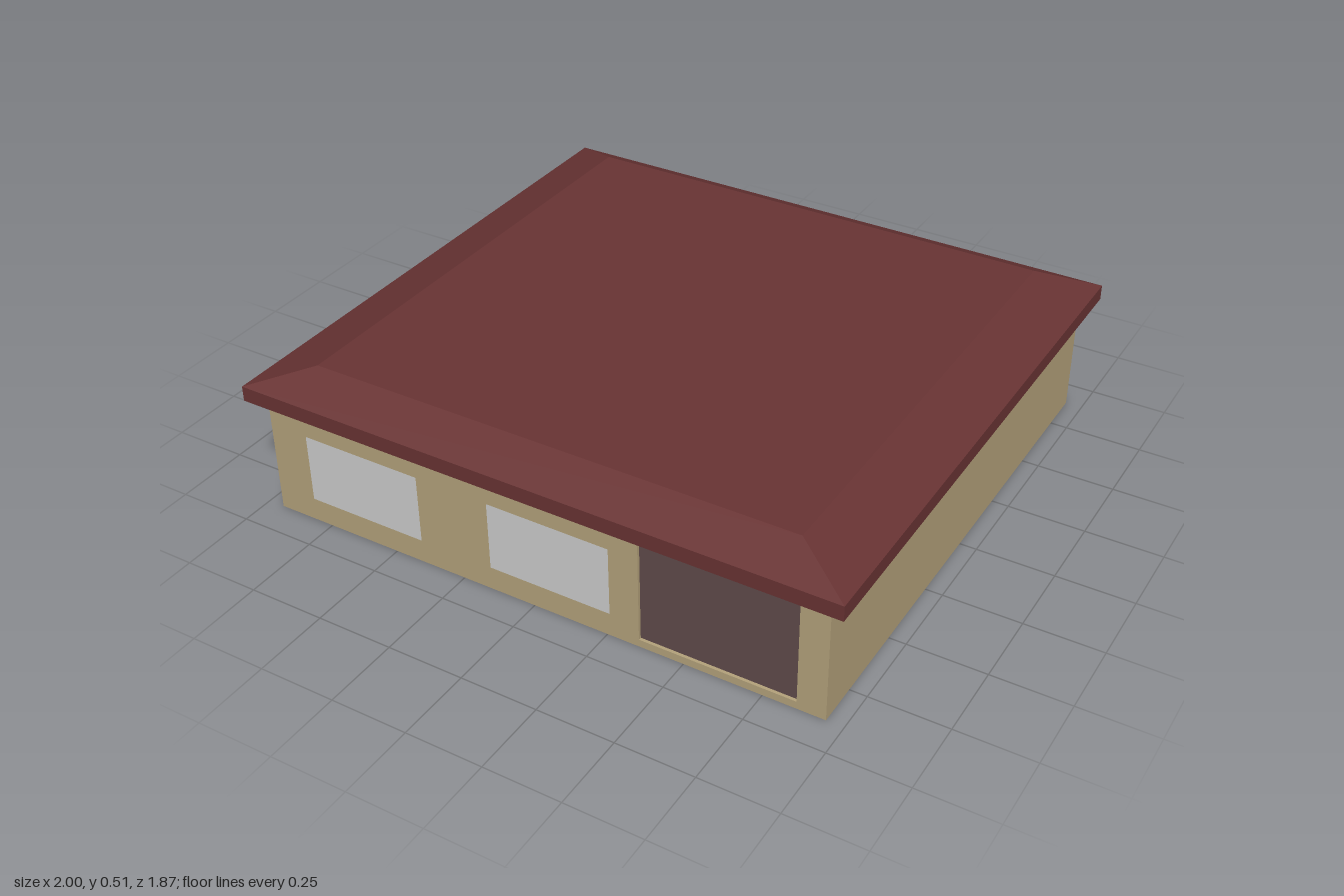
import * as THREE from 'three';

const paint = (color) => new THREE.MeshStandardMaterial({ color, flatShading: true });

export function createModel() {
  const house = new THREE.Group();
  house.name = 'house';
  const wallPaint = paint(0xb3a17a);
  const liningPaint = paint(0xd2c9ae);
  const floorPaint = paint(0x503e3e);
  const roofPaint = paint(0x683333);
  const glass = paint(0xcccccc);

  const add = (name, geometry, material, x = 0, y = 0, z = 0) => {
    const mesh = new THREE.Mesh(geometry, material);
    mesh.name = name;
    mesh.position.set(x, y, z);
    house.add(mesh);
    return mesh;
  };
  const box = (name, w, h, d, material, x, y, z) =>
    add(name, new THREE.BoxGeometry(w, h, d), material, x, y, z);

  const X = 0.945, Z = 0.89, H = 0.4, T = 0.01;

  // Front wall with the wide garage opening
  const front = new THREE.Shape([[-X, 0], [X, 0], [X, H], [-X, H]].map((p) => new THREE.Vector2(...p)));
  front.holes.push(new THREE.Path(
    [[0.355, 0.025], [0.355, 0.365], [0.855, 0.365], [0.855, 0.025]].map((p) => new THREE.Vector2(...p))));
  add('frontWall', new THREE.ExtrudeGeometry(front, { depth: T, bevelEnabled: false }), wallPaint, 0, 0, Z - T);

  // Remaining thin walls, lined with a paler finish inside
  box('backWall', 2 * X, H, T, wallPaint, 0, H / 2, -Z + T / 2);
  box('backLining', 2 * X - 2 * T, H, 0.004, liningPaint, 0, H / 2, -Z + T + 0.002);
  for (const [side, s] of [['left', 1], ['right', -1]]) {
    box(side + 'Wall', T, H, 2 * Z - 2 * T, wallPaint, s * (X - T / 2), H / 2, 0);
    box(side + 'Lining', 0.004, H, 2 * Z - 2 * T, liningPaint, s * (X - T - 0.002), H / 2, 0);
  }

  // Base slab and the dark floor on top of it
  box('base', 2 * X - 2 * T, 0.015, 2 * Z - 2 * T, wallPaint, 0, 0.0075, 0);
  box('floor', 2 * X - 2 * T, 0.01, 2 * Z - 2 * T, floorPaint, 0, 0.02, 0);

  // Flush windows
  for (const x of [-0.605, 0.055]) {
    add('window', new THREE.PlaneGeometry(0.41, 0.23), glass, x, 0.195, Z + 0.002);
  }

  // Overhanging eaves slab
  box('eaves', 2, 0.05, 1.866, roofPaint, 0, 0.425, 0);

  // Hipped roof with a flat top: a box whose top corners are drawn in
  const hip = new THREE.BoxGeometry(2, 0.065, 1.866);
  const p = hip.attributes.position;
  for (let i = 0; i < p.count; i++) {
    if (p.getY(i) > 0) {
      p.setX(i, Math.sign(p.getX(i)) * 0.81);
      p.setZ(i, Math.sign(p.getZ(i)) * 0.803);
    }
  }
  hip.computeVertexNormals();
  add('roof', hip, roofPaint, 0, 0.4825, 0);

  return house;
}
